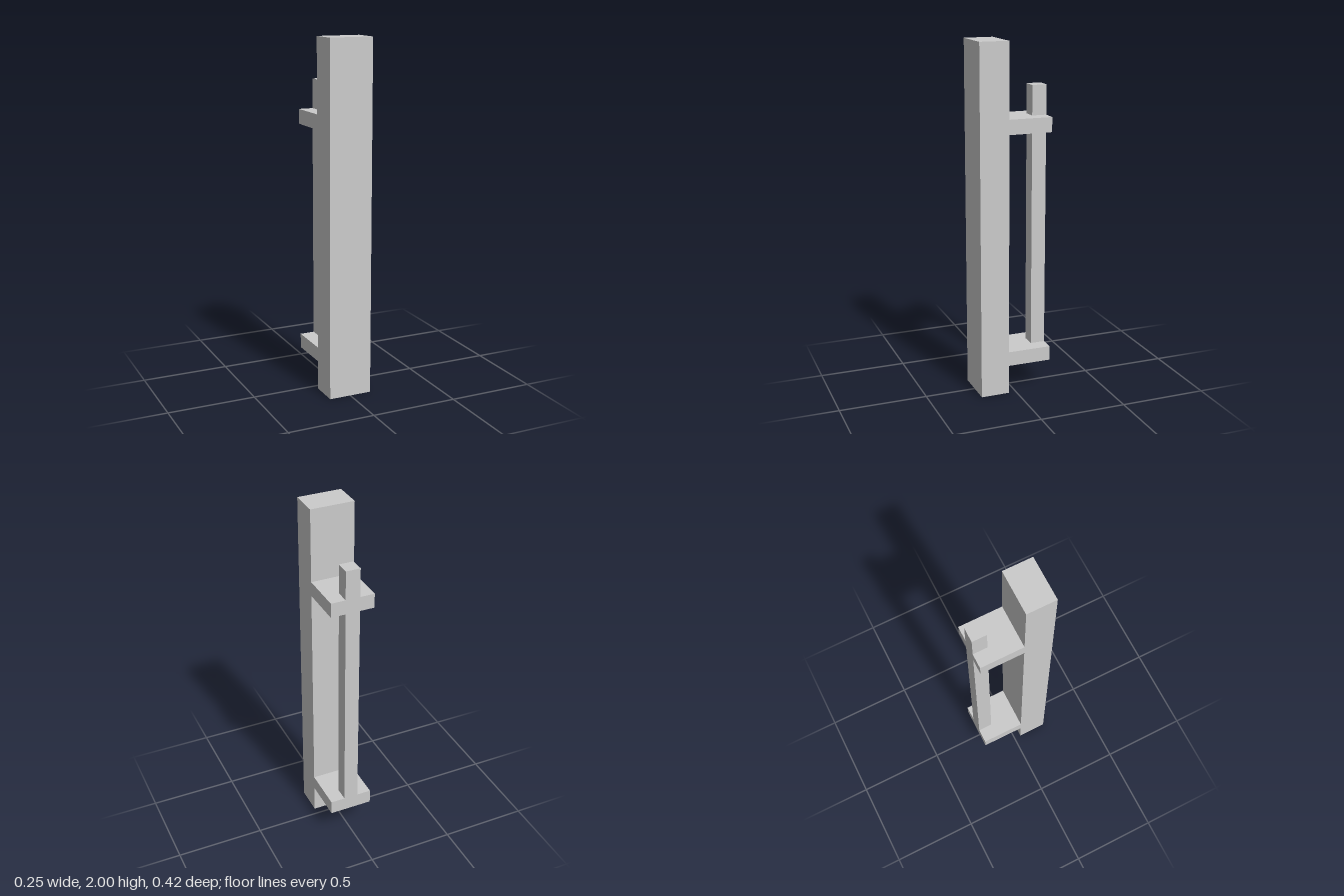
import * as THREE from 'three';

export function createModel() {
  const group = new THREE.Group();
  const material = new THREE.MeshStandardMaterial({ color: 0xcccccc, flatShading: true });

  // Box of a given width centred on x = 0, spanning y0..y1 and z0..z1
  function block(name, width, y0, y1, z0, z1) {
    const mesh = new THREE.Mesh(new THREE.BoxGeometry(width, y1 - y0, z1 - z0), material);
    mesh.position.set(0, (y0 + y1) / 2, (z0 + z1) / 2);
    mesh.name = name;
    group.add(mesh);
  }

  const back = -0.2083, postBack = 0.0417, front = 0.2083;
  const lower = [0.1667, 0.25], upper = [1.5, 1.5833];

  // Tall front post
  block('post', 0.25, 0, 2, postBack, front);

  // Two brackets reaching back from the post
  block('lowerBracket', 0.25, ...lower, back, postBack);
  block('upperBracket', 0.25, ...upper, back, postBack);

  // Slim rod, flush with the bracket ends and interrupted by the upper bracket
  block('rod', 0.0833, lower[1], upper[0], back, -0.125);
  block('rodTip', 0.0833, upper[1], 1.75, back, -0.125);

  return group;
}
